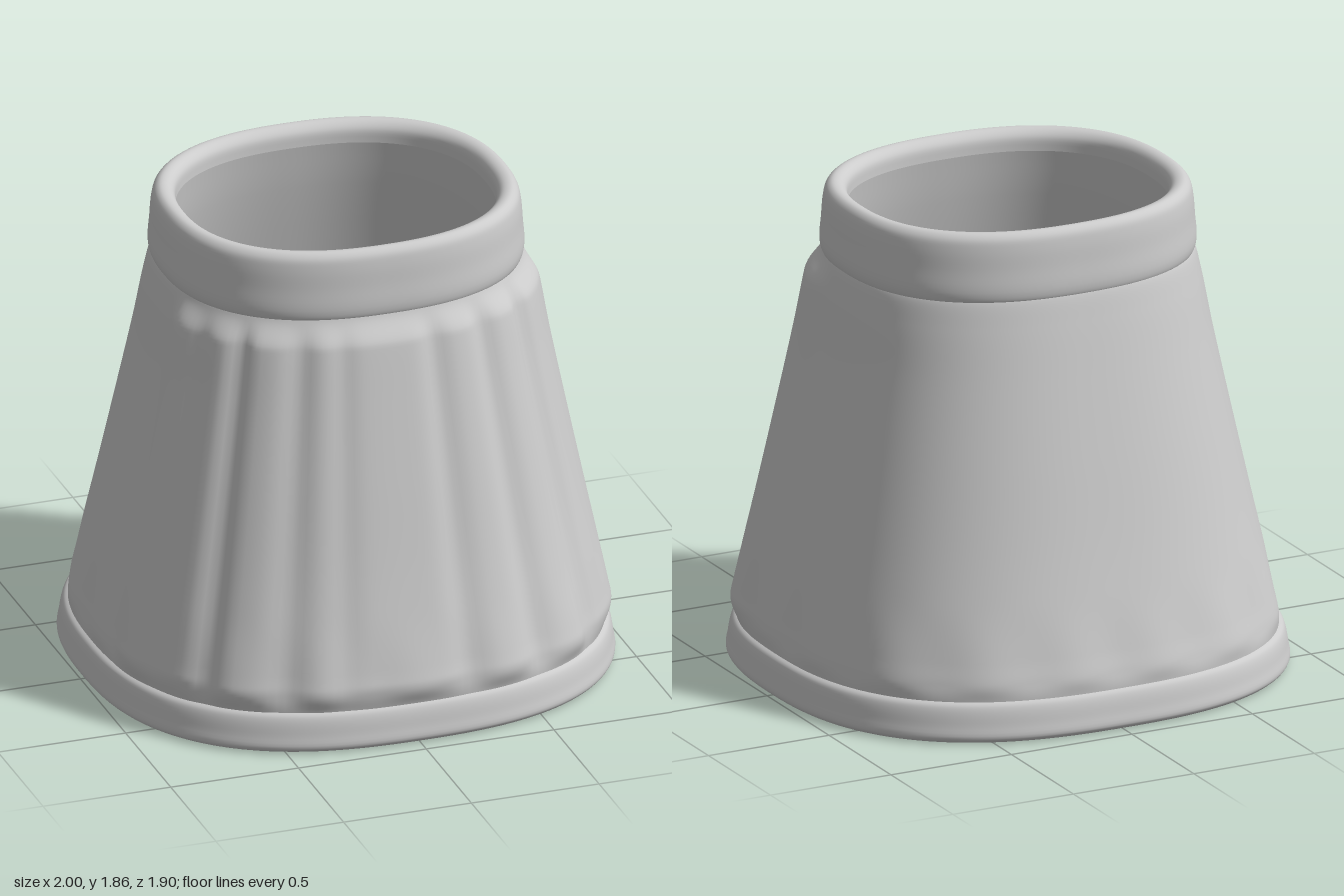
import * as THREE from 'three';

const SEG = 200;
const smooth = THREE.MathUtils.smoothstep;

// Polar radius of a rounded-square outline with half widths a (x) and b (z), rounder towards the top
function outline(t, y, a, b) {
  const n = 2.51 - 0.09 * y;
  return Math.pow(Math.pow(Math.abs(Math.sin(t)) / a, n) + Math.pow(Math.abs(Math.cos(t)) / b, n), -1 / n);
}

// Skins closed rings; each row is [y, a, b]. Rows going up face outward, going down face inward.
function loft(name, rows, material, relief = () => 0) {
  const pos = [], idx = [];
  rows.forEach(([y, a, b], j) => {
    for (let i = 0; i < SEG; i++) {
      const t = -Math.PI + (i / SEG) * Math.PI * 2;
      const r = outline(t, y, a, b) + relief(t, y);
      pos.push(r * Math.sin(t), y, r * Math.cos(t));
      if (j === rows.length - 1) continue;
      const p = j * SEG + i, q = j * SEG + (i + 1) % SEG;
      idx.push(p, q, q + SEG, p, q + SEG, p + SEG);
    }
  });
  const g = new THREE.BufferGeometry();
  g.setAttribute('position', new THREE.Float32BufferAttribute(pos, 3));
  g.setIndex(idx);
  g.computeVertexNormals();
  const mesh = new THREE.Mesh(g, material);
  mesh.name = name;
  return mesh;
}

// Smooth profile through a few points
function profile(points, count) {
  const curve = new THREE.CatmullRomCurve3(points.map(p => new THREE.Vector3(...p)), false, 'centripetal');
  return curve.getPoints(count).map(v => [v.x, v.y, v.z]);
}

// Pleat grooves on the front: [angle from front, width, depth]
const grooves = [
  [-1.36, 0.06, 0.012], [-1.08, 0.07, 0.018], [-0.84, 0.05, 0.026], [-0.53, 0.075, 0.022],
  [-0.3, 0.06, 0.01], [0.23, 0.07, 0.02], [0.54, 0.065, 0.026], [0.83, 0.05, 0.024]
];

function pleats(t, y) {
  const fade = smooth(y, 0.13, 0.25) * (1 - smooth(y, 1.5, 1.6));
  // raised front panel, thicker towards the top
  let h = (0.026 + 0.008 * y) * (1 - smooth(Math.abs(t), 1.2, 1.48));
  for (const [c, w, d] of grooves) h -= d * Math.exp(-(((t - c) / w) ** 2));
  // faint gathers above the hem, all the way round
  const gather = 0.005 * Math.cos(t * 17) * smooth(y, 0.15, 0.22) * (1 - smooth(y, 0.25, 0.5));
  return h * fade + gather;
}

export function createModel() {
  const group = new THREE.Group();
  const cloth = new THREE.MeshStandardMaterial({ color: 0xcccccc });
  cloth.name = 'light grey cloth';

  // Pleated flared body
  group.add(loft('skirt', profile([
    [0.13, 0.958, 0.912], [0.2, 0.96, 0.912], [0.3, 0.943, 0.889], [0.65, 0.87, 0.808], [1.0, 0.797, 0.735],
    [1.3, 0.737, 0.672], [1.5, 0.702, 0.63], [1.6, 0.678, 0.606], [1.62, 0.665, 0.595]
  ], 90), cloth, pleats));

  // Rolled hem band, from the inner edge round to the skirt
  group.add(loft('hemBand', profile([
    [0.09, 0.905, 0.855], [0.03, 0.92, 0.87], [0.004, 0.95, 0.9], [0.005, 0.98, 0.93], [0.025, 0.998, 0.948],
    [0.07, 0.993, 0.942], [0.12, 0.985, 0.934], [0.145, 0.975, 0.924], [0.16, 0.952, 0.904]
  ], 32), cloth));

  // Plain collar with a rounded lip
  group.add(loft('collar', profile([
    [1.59, 0.665, 0.595], [1.605, 0.678, 0.606], [1.64, 0.686, 0.611], [1.72, 0.681, 0.605], [1.8, 0.675, 0.599],
    [1.84, 0.665, 0.59], [1.86, 0.642, 0.568], [1.855, 0.61, 0.54], [1.83, 0.59, 0.518], [1.78, 0.586, 0.513]
  ], 40), cloth));

  // Smooth inner wall
  group.add(loft('lining', profile([
    [1.78, 0.586, 0.513], [1.6, 0.612, 0.545], [1.0, 0.74, 0.68], [0.3, 0.88, 0.825], [0.09, 0.905, 0.855]
  ], 24), cloth));

  return group;
}
